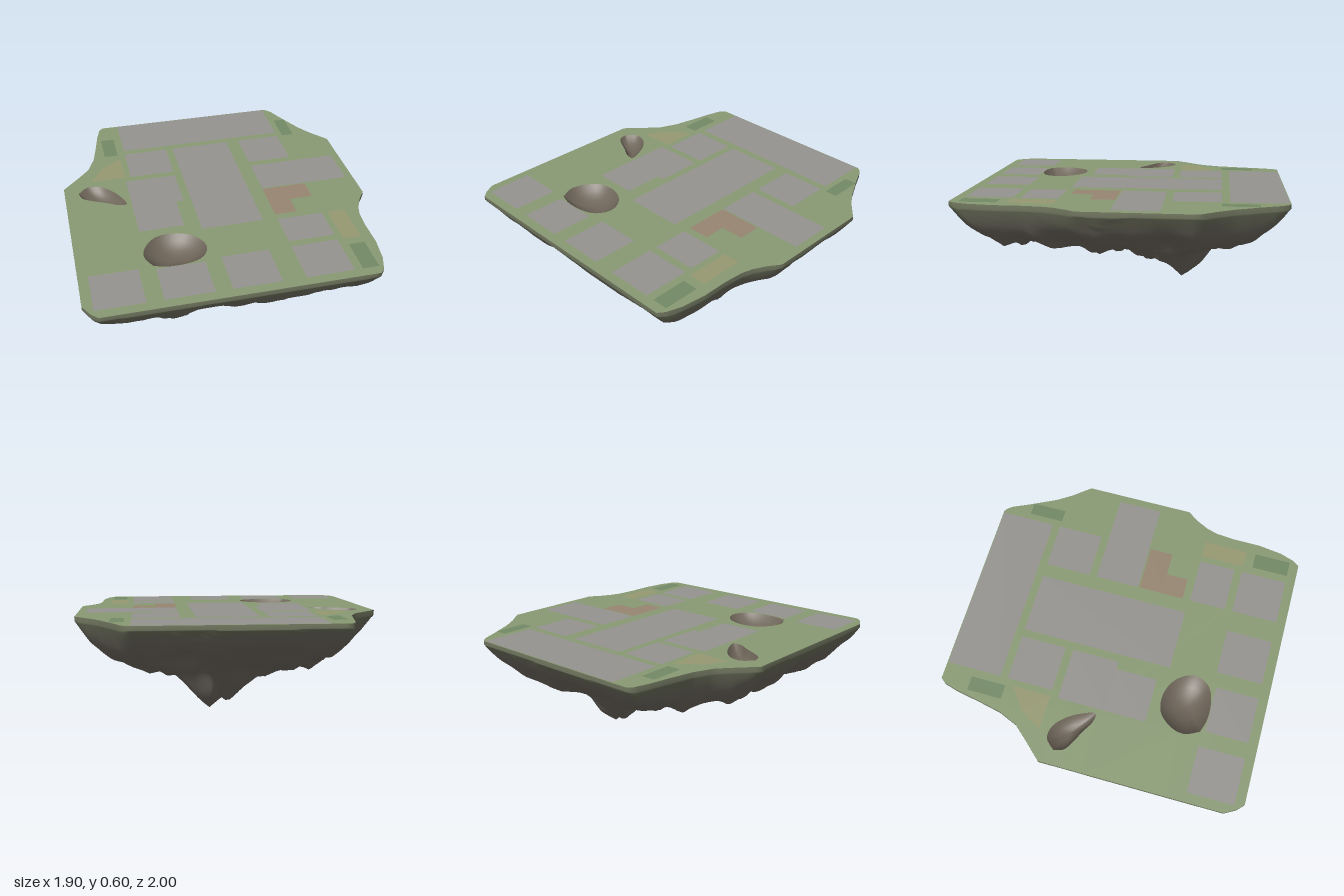
import * as THREE from 'three';
import { mergeVertices } from 'three/addons/utils/BufferGeometryUtils.js';

const TOP = 0.6;
const mat = (color) => new THREE.MeshStandardMaterial({ color });

// Island rim as [x, z], clockwise seen from above
const RIM = [[-0.61, -1], [0.62, -1], [0.645, -0.985], [0.67, -0.95], [0.72, -0.84], [0.8, -0.68], [0.86, -0.59],
  [0.95, -0.48], [0.95, 0.21], [0.9, 0.28], [0.86, 0.36], [0.84, 0.43], [0.83, 0.55], [0.83, 0.72], [0.81, 0.87],
  [0.78, 0.96], [0.75, 1], [-0.87, 1], [-0.91, 0.96], [-0.95, 0.89], [-0.95, -0.26], [-0.84, -0.38], [-0.77, -0.46],
  [-0.72, -0.58], [-0.69, -0.72], [-0.66, -0.88], [-0.635, -0.97]];

const CRATERS = [
  { depth: 0.08, rim: [[-0.51, 0.64], [-0.55, 0.55], [-0.53, 0.46], [-0.46, 0.38], [-0.36, 0.36], [-0.26, 0.39],
    [-0.19, 0.46], [-0.17, 0.54], [-0.21, 0.62], [-0.3, 0.66], [-0.42, 0.665]] },
  { depth: 0.06, rim: [[-0.86, -0.19], [-0.8, -0.25], [-0.72, -0.24], [-0.65, -0.18], [-0.6, -0.1], [-0.57, -0.01],
    [-0.63, -0.01], [-0.7, -0.05], [-0.78, -0.09], [-0.84, -0.13]] },
];

// Lowest height allowed along x and along z
const LOW_X = [[-0.95, 0.57], [-0.88, 0.46], [-0.8, 0.36], [-0.74, 0.31], [-0.66, 0.27], [-0.52, 0.22], [-0.46, 0.25],
  [-0.3, 0.25], [-0.22, 0.21], [-0.15, 0.22], [-0.08, 0.16], [-0.01, 0.06], [0.05, 0.05], [0.13, 0], [0.2, 0.04],
  [0.27, 0.14], [0.33, 0.2], [0.42, 0.2], [0.55, 0.25], [0.66, 0.29], [0.73, 0.31], [0.8, 0.38], [0.86, 0.42],
  [0.95, 0.57]];
const LOW_Z = [[-1, 0.57], [-0.9, 0.44], [-0.8, 0.33], [-0.7, 0.27], [-0.6, 0.19], [-0.5, 0.12], [-0.42, 0.05],
  [-0.35, 0], [-0.28, 0.08], [-0.08, 0.1], [-0.02, 0.16], [0.08, 0.155], [0.2, 0.17], [0.37, 0.18], [0.4, 0.23],
  [0.45, 0.21], [0.65, 0.22], [0.8, 0.31], [0.9, 0.42], [1, 0.57]];

// Hanging rock points: x, z, depth, slope
const PEAKS = [[0.13, -0.35, 0.6, 1], [0.02, -0.39, 0.56, 0.9], [0.1, -0.25, 0.53, 0.8], [0.08, -0.13, 0.52, 0.9],
  [0.12, 0.07, 0.46, 0.8], [0.05, 0.32, 0.44, 0.8], [-0.22, 0.1, 0.4, 0.6], [0.38, -0.1, 0.41, 0.7],
  [-0.52, 0.3, 0.39, 0.6], [0.2, 0.62, 0.39, 0.7], [-0.4, 0.62, 0.38, 0.7]];

function lookup(table, v) {
  for (let i = 1; i < table.length; i++) {
    const [a, ya] = table[i - 1], [b, yb] = table[i];
    if (v <= b) return THREE.MathUtils.lerp(ya, yb, Math.max(0, (v - a) / (b - a)));
  }
  return table[table.length - 1][1];
}

// Smooth seeded value noise, 0..1
function noise(x, z) {
  const hash = (i, j) => { const s = Math.sin(i * 127.1 + j * 311.7) * 43758.5453; return s - Math.floor(s); };
  const i = Math.floor(x), j = Math.floor(z), lerp = THREE.MathUtils.lerp;
  const u = THREE.MathUtils.smoothstep(x - i, 0, 1), v = THREE.MathUtils.smoothstep(z - j, 0, 1);
  return lerp(lerp(hash(i, j), hash(i + 1, j), u), lerp(hash(i, j + 1), hash(i + 1, j + 1), u), v);
}
function ridges(x, z) {
  const big = Math.abs(2 * noise(x * 3.6 + 9, z * 3.6 + 4) - 1);
  const mid = Math.abs(2 * noise(x * 7 + 30, z * 7 + 7) - 1);
  return 0.6 * big + 0.4 * mid;
}

function rimDistance(x, z) {
  let best = Infinity;
  RIM.forEach(([ax, az], i) => {
    const [bx, bz] = RIM[(i + 1) % RIM.length], dx = bx - ax, dz = bz - az;
    const t = THREE.MathUtils.clamp(((x - ax) * dx + (z - az) * dz) / (dx * dx + dz * dz), 0, 1);
    best = Math.min(best, Math.hypot(x - ax - dx * t, z - az - dz * t));
  });
  return best;
}

// Bowl with rounded corners, lumps and hanging points
function undersideHeight(x, z) {
  const d = rimDistance(x, z), n = ridges(x, z), w = Math.min(1, d / 0.2);
  const dx = TOP - lookup(LOW_X, x), dz = TOP - lookup(LOW_Z, z);
  const slope = 0.03 + 0.38 * (1 - Math.exp(-d / 0.17));
  let depth = (dx ** -4 + dz ** -4 + slope ** -4) ** -0.25 * (1 + w * (0.25 - 0.5 * n));
  for (const [px, pz, h, s] of PEAKS)
    depth = Math.max(depth, h - s * Math.hypot(x - px, z - pz) * (0.7 + 0.9 * n));
  return TOP - Math.min(depth, dx, dz);
}

// Split long edges so that rings stay dense
function subdivide(points, step) {
  return points.flatMap(([ax, az], i) => {
    const [bx, bz] = points[(i + 1) % points.length];
    const n = Math.max(1, Math.round(Math.hypot(bx - ax, bz - az) / step));
    return Array.from({ length: n }, (_, k) => [ax + (bx - ax) * k / n, az + (bz - az) * k / n]);
  });
}

// Rings shrinking from an outline to a centre; height(x, z, ring) gives y
function ringGeometry(outline, [cx, cz], steps, height, faceUp) {
  const pos = [], index = [], n = outline.length;
  steps.forEach((t, r) => outline.forEach(([ox, oz], i) => {
    const x = ox + (cx - ox) * t, z = oz + (cz - oz) * t;
    pos.push(x, height(x, z, r), z);
    if (r === 0) return;
    const a = (r - 1) * n + i, b = (r - 1) * n + (i + 1) % n, c = r * n + i, d = r * n + (i + 1) % n;
    index.push(...(faceUp ? [a, c, b, b, c, d] : [a, b, c, b, d, c]));
  }));
  const g = new THREE.BufferGeometry();
  g.setAttribute('position', new THREE.Float32BufferAttribute(pos, 3));
  g.setIndex(index);
  const merged = mergeVertices(g, 1e-5);
  merged.computeVertexNormals();
  return merged;
}

export function createModel() {
  const group = new THREE.Group();
  const add = (name, geometry, material) => {
    const mesh = new THREE.Mesh(geometry, material);
    mesh.name = name;
    group.add(mesh);
  };
  const toVectors = (pts) => pts.map(([x, z]) => new THREE.Vector2(x, -z));
  const flat = (pts, y, holes = []) => {
    const shape = new THREE.Shape(toVectors(pts));
    holes.forEach((h) => shape.holes.push(new THREE.Path(toVectors(h))));
    return new THREE.ShapeGeometry(shape).rotateX(-Math.PI / 2).translate(0, y, 0);
  };

  // Flat grass top, open at the craters
  const rim = subdivide(RIM, 0.035);
  const bowls = CRATERS.map((c) => new THREE.SplineCurve([...c.rim, c.rim[0]].map((p) => new THREE.Vector2(...p)))
    .getPoints(40).slice(0, -1).map((p) => [p.x, p.y]));
  add('grassTop', flat(rim, TOP, bowls), mat(0x8a9b74));

  // Crater bowls
  const earth = mat(0x6f665a);
  CRATERS.forEach(({ depth }, k) => {
    const pts = bowls[k], centre = [0, 1].map((a) => pts.reduce((s, p) => s + p[a], 0) / pts.length);
    const steps = [0, 0.08, 0.2, 0.35, 0.55, 0.8, 1];
    add('crater', ringGeometry(pts, centre, steps, (x, z, r) => TOP - depth * (1 - (1 - steps[r]) ** 2.5), true), earth);
  });

  // Rock underside, fading from a greener rim to plain rock
  const steps = [0, 0];
  for (let i = 1; i <= 44; i++) steps.push((i / 44) ** 1.35);
  const rock = ringGeometry(rim, [0.13, -0.35], steps, (x, z, r) => (r === 0 ? TOP : undersideHeight(x, z)), false);
  const row = rim.length * 6, moss = new THREE.Color(0x747a62), stone = new THREE.Color(0x79736a);
  const fade = [0, 0.25, 0.5, 0.75, 1].map((t) => mat(moss.clone().lerp(stone, t)));
  fade.forEach((_, k) => rock.addGroup(k * 2 * row, k < 4 ? 2 * row : rock.index.count - 8 * row, k));
  add('rockUnderside', rock, fade);

  // Ground patches: x0, z0, x1, z1
  const patches = (name, color, list) => {
    const material = mat(color);
    list.forEach(([a, b, c, d]) => add(name, flat([[a, b], [c, b], [c, d], [a, d]], TOP + 0.0015), material));
  };
  patches('pavingSlab', 0x969490, [[-0.5, -0.995, 0.61, -0.65], [-0.5, -0.6, -0.21, -0.31], [-0.16, -0.6, 0.23, 0.36],
    [0.32, -0.6, 0.61, -0.31], [0.32, -0.26, 0.9, 0.02], [-0.54, -0.26, -0.21, 0.04], [-0.54, 0.04, -0.26, 0.3],
    [0.32, 0.37, 0.61, 0.6], [0.32, 0.65, 0.61, 0.94], [-0.11, 0.65, 0.18, 0.94], [-0.5, 0.67, -0.21, 0.94],
    [-0.89, 0.65, -0.6, 0.94]]);
  patches('dirtPatch', 0x978672, [[0.32, 0.03, 0.61, 0.18], [0.32, 0.18, 0.46, 0.32]]);
  patches('sandPatch', 0x979a72, [[0.65, 0.37, 0.76, 0.65]]);
  add('sandPatch', flat([[-0.54, -0.55], [-0.54, -0.31], [-0.76, -0.31], [-0.68, -0.45]], TOP + 0.0015), mat(0x979a72));
  patches('darkGrass', 0x738a66, [[-0.64, -0.82, -0.55, -0.6], [0.65, -0.82, 0.73, -0.6], [0.66, 0.71, 0.76, 0.94]]);

  return group;
}
